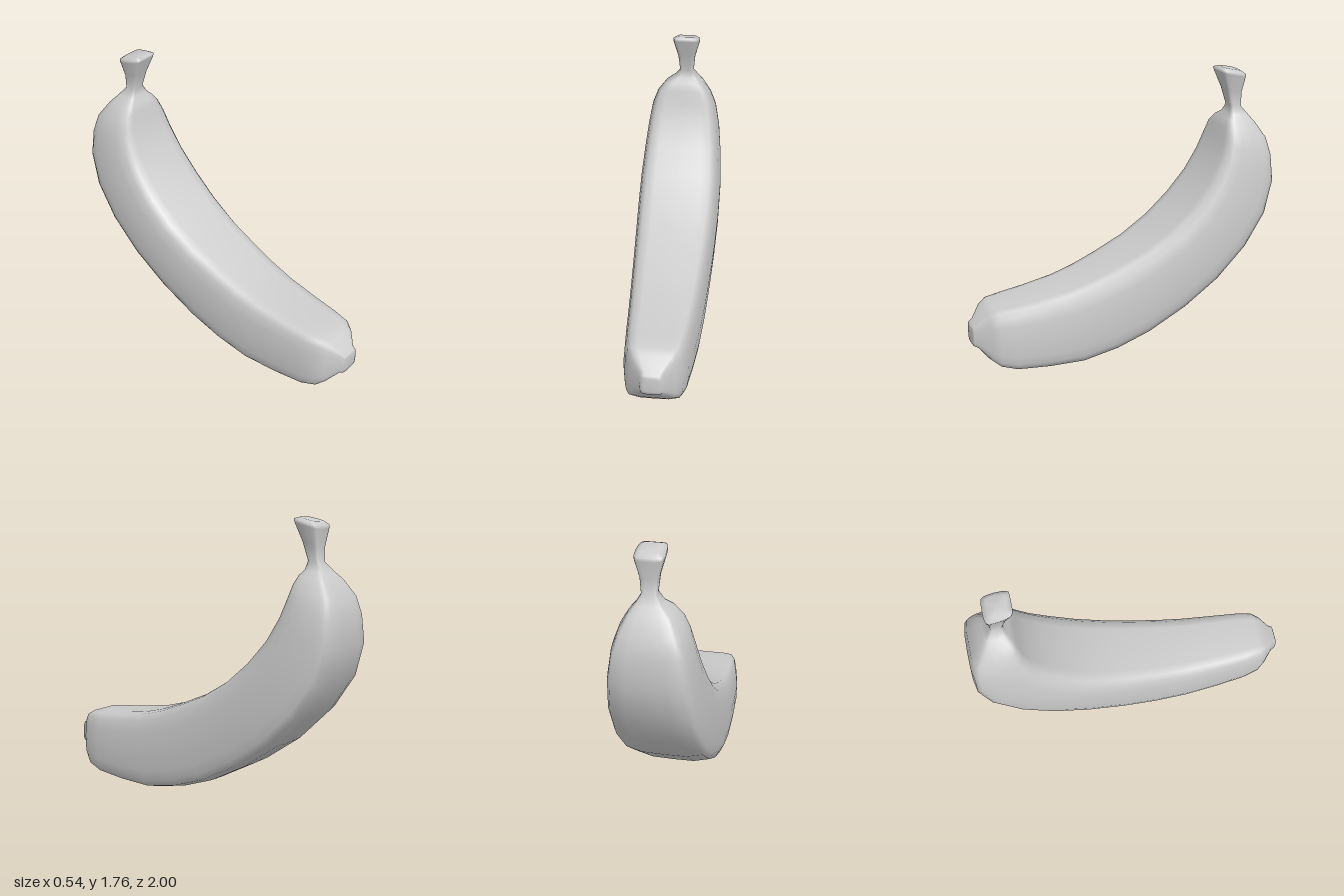
import * as THREE from 'three';

// Half outline of a section: [sideways factor, 0 = inner curve .. 1 = outer curve]
const HALF = [
  [0, 0], [0.55, 0], [0.76, 0.02], [0.88, 0.1], [0.95, 0.25], [1, 0.5],
  [0.98, 0.75], [0.94, 0.87], [0.86, 0.95], [0.5, 0.995], [0, 1],
];
const OUTLINE = [...HALF, ...HALF.slice(1, -1).reverse().map(([u, v]) => [-u, v])];

// Sections: inner z, inner y, outer z, outer y, half width, x shift
const BODY = [
  [1, 0.31, 1, 0.22, 0.045, 0],
  [0.995, 0.33, 0.995, 0.2, 0.065, 0],
  [0.97, 0.345, 0.97, 0.185, 0.075, 0],
  [0.91, 0.41, 0.91, 0.11, 0.14, 0],
  [0.86, 0.435, 0.86, 0.065, 0.175, 0],
  [0.76, 0.445, 0.76, 0.03, 0.195, 0],
  [0.6, 0.46, 0.56, 0.01, 0.212, 0],
  [0.4, 0.49, 0.33, 0.002, 0.228, 0],
  [0.25, 0.53, 0.1, 0.045, 0.24, 0],
  [0.1, 0.585, -0.12, 0.12, 0.25, 0],
  [-0.1, 0.67, -0.37, 0.25, 0.262, 0],
  [-0.28, 0.78, -0.6, 0.41, 0.27, 0],
  [-0.43, 0.91, -0.8, 0.605, 0.27, 0],
  [-0.55, 1.05, -0.94, 0.81, 0.258, 0],
  [-0.63, 1.19, -1, 1.02, 0.238, 0],
  [-0.67, 1.3, -0.99, 1.19, 0.212, 0],
  [-0.69, 1.38, -0.965, 1.3, 0.175, 0],
  [-0.71, 1.43, -0.9, 1.4, 0.125, 0.005],
  [-0.735, 1.46, -0.86, 1.45, 0.08, 0.015],
  [-0.745, 1.51, -0.82, 1.5, 0.045, 0.02],
];
const STEM = [
  BODY[BODY.length - 1],
  [-0.71, 1.62, -0.815, 1.59, 0.055, 0.02],
  [-0.667, 1.73, -0.828, 1.69, 0.085, 0.02],
  [-0.662, 1.75, -0.83, 1.71, 0.085, 0.02],
  [-0.69, 1.758, -0.8, 1.734, 0.06, 0.02],
];

// Lofts a skin through all sections and closes both ends
function loft(sections) {
  const n = OUTLINE.length, pos = [], index = [];
  for (const [iz, iy, oz, oy, w, x] of sections) {
    for (const [u, v] of OUTLINE) pos.push(x + u * w, iy + (oy - iy) * v, iz + (oz - iz) * v);
  }
  for (let i = 0; i < sections.length - 1; i++) {
    for (let j = 0; j < n; j++) {
      const k = (j + 1) % n, a = i * n, b = a + n;
      index.push(a + j, a + k, b + j, a + k, b + k, b + j);
    }
  }
  const last = sections.length - 1;
  for (const s of [0, last]) {
    const [iz, iy, oz, oy, , x] = sections[s];
    const c = pos.length / 3;
    pos.push(x, (iy + oy) / 2, (iz + oz) / 2);
    for (let j = 0; j < n; j++) {
      const a = s * n + j, b = s * n + ((j + 1) % n);
      index.push(c, ...(s === 0 ? [b, a] : [a, b]));
    }
  }
  const geometry = new THREE.BufferGeometry();
  geometry.setAttribute('position', new THREE.Float32BufferAttribute(pos, 3));
  geometry.setIndex(index);
  geometry.computeVertexNormals();
  return geometry;
}

export function createModel() {
  const group = new THREE.Group();
  group.name = 'banana';
  const material = new THREE.MeshStandardMaterial({ color: 0xcccccc });
  // One continuous skin from blossom tip through the fruit to the stem
  const fruit = new THREE.Mesh(loft([...BODY, ...STEM.slice(1)]), material);
  fruit.name = 'fruitAndStem';
  group.add(fruit);
  return group;
}
